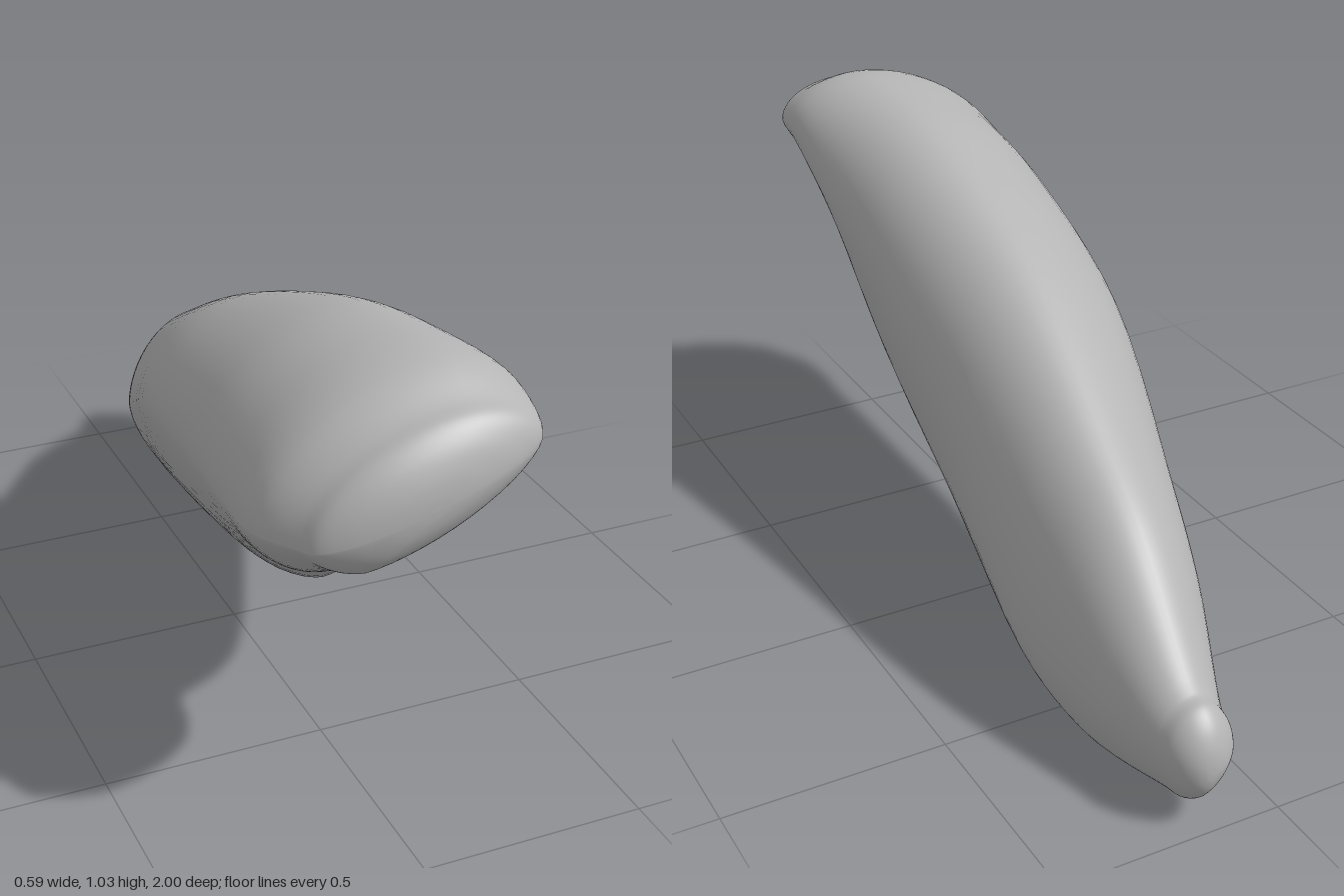
import * as THREE from 'three';
import { mergeVertices } from 'three/addons/utils/BufferGeometryUtils.js';

// Key sections from the raised front to the low tail: z, then top, left, bottom and right points
const SECTIONS = [
  [0.9, 0.08, 0.99, -0.25, 0.75, -0.14, 0.68, 0.25, 0.9],
  [0.8, 0.08, 1.03, -0.295, 0.74, -0.15, 0.62, 0.265, 0.9],
  [0.6, 0.07, 1.025, -0.28, 0.71, -0.06, 0.49, 0.27, 0.82],
  [0.4, 0.06, 0.99, -0.26, 0.69, 0.04, 0.33, 0.27, 0.72],
  [0, 0.05, 0.84, -0.21, 0.6, 0.13, 0.165, 0.27, 0.5],
  [-0.45, 0.1, 0.61, -0.09, 0.38, 0.18, 0.03, 0.295, 0.2],
  [-0.65, 0.12, 0.49, -0.03, 0.27, 0.19, 0, 0.28, 0.18],
  [-0.9, 0.15, 0.27, 0.07, 0.16, 0.17, 0.04, 0.235, 0.16],
];
const FRONT_TIP = new THREE.Vector3(-0.02, 0.83, 1);
const TAIL_TIP = new THREE.Vector3(0.16, 0.14, -1);
const QUARTER = 14;
const RING = QUARTER * 4;
const STEPS = 96;

// One closed outline of four rounded quarters: top, left, bottom, right
function outline([z, ...xy]) {
  // the lower right side flattens into the underside of the front lip
  const powers = [1.12, 1.3, 1 + 0.4 * THREE.MathUtils.smoothstep(z, 0.2, 0.8), 1];
  const points = [];
  for (let q = 0; q < 4; q++) {
    const [ax, ay] = xy.slice(q * 2);
    const [bx, by] = xy.slice(((q + 1) % 4) * 2);
    for (let i = 0; i < QUARTER; i++) {
      const angle = (i / QUARTER) * Math.PI / 2;
      const s = Math.sin(angle) ** powers[q];
      const c = 1 - Math.cos(angle) ** powers[q];
      const [u, v] = q % 2 === 0 ? [s, c] : [c, s];
      points.push(new THREE.Vector3(ax + (bx - ax) * u, ay + (by - ay) * v, z));
    }
  }
  return points;
}

// Outlines that shrink roundly from an end section to its tip
function cap(ring, tip) {
  return [0.4, 0.7, 0.9, 0.98, 1].map((t) => {
    const size = Math.sqrt(1 - t * t);
    return ring.map((p) => new THREE.Vector3(
      tip.x + (p.x - tip.x) * size,
      tip.y + (p.y - tip.y) * size,
      p.z + (tip.z - p.z) * t));
  });
}

// Smooth skin drawn lengthwise through all outlines
function stoneGeometry() {
  const body = SECTIONS.map(outline);
  const rings = [
    ...cap(body[0], FRONT_TIP).reverse(),
    ...body,
    ...cap(body[body.length - 1], TAIL_TIP),
  ];
  const curves = Array.from({ length: RING }, (_, j) =>
    new THREE.CatmullRomCurve3(rings.map((ring) => ring[j])));
  const positions = [], index = [];
  for (let i = 0; i <= STEPS; i++) {
    for (const curve of curves) positions.push(...curve.getPoint(i / STEPS).toArray());
  }
  for (let i = 0; i < STEPS; i++) {
    for (let j = 0; j < RING; j++) {
      const a = i * RING + j, b = i * RING + (j + 1) % RING;
      index.push(a, a + RING, b, b, a + RING, b + RING);
    }
  }
  const geometry = new THREE.BufferGeometry();
  geometry.setAttribute('position', new THREE.Float32BufferAttribute(positions, 3));
  geometry.setIndex(index);
  const merged = mergeVertices(geometry, 1e-5);
  merged.computeVertexNormals();
  return merged;
}

export function createModel() {
  const group = new THREE.Group();
  group.name = 'stone';
  const grey = new THREE.MeshStandardMaterial({ color: 0xb4b4b4 });
  grey.name = 'stone grey';
  const body = new THREE.Mesh(stoneGeometry(), grey);
  body.name = 'stoneBody';
  group.add(body);
  return group;
}
